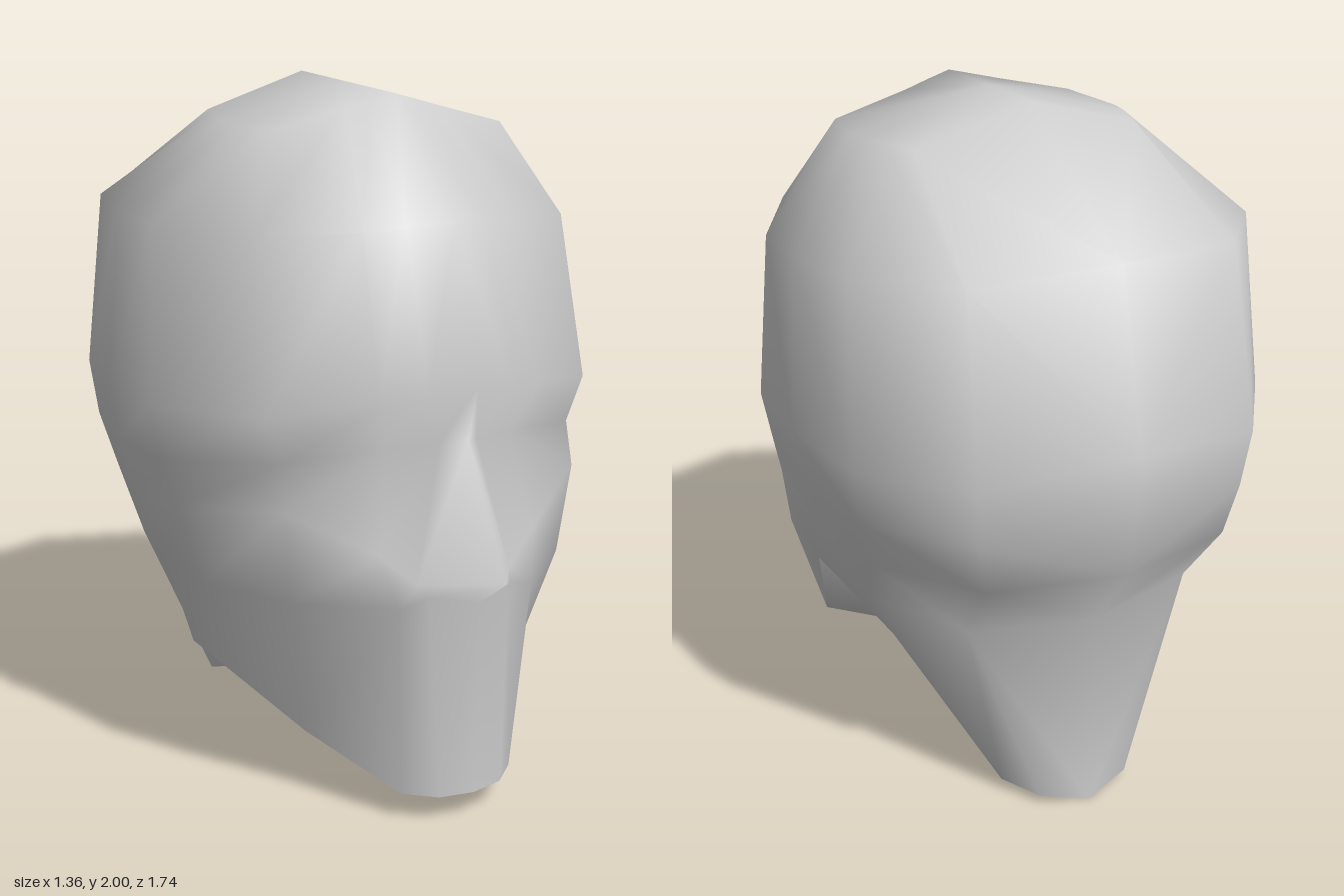
import * as THREE from 'three';
import { mergeVertices } from 'three/addons/utils/BufferGeometryUtils.js';

// Unit head outline, from front centre round the left side to back centre
const OUTLINE = [
  [0, 1], [0.2, 0.96], [0.37, 0.91], [0.76, 0.72], [1, 0.26],
  [1, -0.09], [0.92, -0.47], [0.6, -0.86], [0, -1],
];

// Half ring: front and back height and depth, half width, drop of the sides
function ring(yFront, zFront, yBack, zBack, width, drop, edits = {}) {
  return OUTLINE.map(([u, v], i) => edits[i] ?? [
    u * width,
    THREE.MathUtils.lerp(yBack, yFront, (v + 1) / 2) - drop * u,
    THREE.MathUtils.lerp(zBack, zFront, (v + 1) / 2),
  ]);
}

// Triangles between two half rings, upper one first
function strip(upper, lower) {
  const tris = [];
  for (let i = 0; i < upper.length - 1; i++) {
    tris.push([upper[i], lower[i], lower[i + 1]], [upper[i], lower[i + 1], upper[i + 1]]);
  }
  return tris;
}

const fan = (hub, rim) => rim.slice(1).map((p, i) => [hub, rim[i], p]);

// Mirror half the triangles across x = 0, weld them and smooth the normals
function mirrored(tris) {
  const flip = ([x, y, z]) => [-x, y, z];
  const all = tris.flatMap(([a, b, c]) => [a, b, c, flip(a), flip(c), flip(b)]);
  const geometry = new THREE.BufferGeometry();
  geometry.setAttribute('position', new THREE.Float32BufferAttribute(all.flat(), 3));
  const welded = mergeVertices(geometry, 1e-4);
  welded.computeVertexNormals();
  return welded;
}

export function createModel() {
  const group = new THREE.Group();
  group.name = 'head';
  // Double sided, as the neck is an open shell
  const grey = new THREE.MeshStandardMaterial({ color: 0xcccccc, side: THREE.DoubleSide });
  grey.name = 'light grey';
  const add = (name, tris) => {
    const mesh = new THREE.Mesh(mirrored(tris), grey);
    mesh.name = name;
    group.add(mesh);
  };

  // Skull and face from crown to mouth
  const rings = [
    ring(1.96, 0.3, 2.0, -0.24, 0.39, 0.1, {
      3: [0.37, 1.87, 0.26], 7: [0.33, 1.9, -0.2],
    }),
    ring(1.64, 0.59, 1.72, -0.74, 0.645, 0.05),
    ring(1.23, 0.72, 1.24, -0.87, 0.68, 0.1),
    // Eye sockets and nose bridge
    ring(1.07, 0.68, 1.06, -0.845, 0.655, 0.09, {
      1: [0.06, 1.06, 0.63], 2: [0.2, 1.05, 0.58], 3: [0.46, 1.03, 0.5],
    }),
    // Nose tip, nostrils and cheekbones
    ring(0.75, 0.75, 0.87, -0.82, 0.61, 0.02, {
      0: [0, 0.73, 0.87], 1: [0.15, 0.69, 0.67], 2: [0.25, 0.78, 0.64],
      3: [0.47, 0.9, 0.52], 4: [0.62, 0.85, 0.17],
    }),
    // Upper lip
    ring(0.64, 0.75, 0.63, -0.65, 0.58, 0, {
      1: [0.13, 0.66, 0.7], 3: [0.44, 0.64, 0.5],
    }),
  ];
  const apex = [0, 1.98, 0.03];
  const mouth = rings[5];
  const [, , , , cheek, ear, behindEar, napeSide, nape] = mouth;

  // Jaw line, inner edge of the jaw and open neck rim
  const jaw = [
    [0, 0.08, 0.74], [0.1, 0.08, 0.72], [0.18, 0.08, 0.65], [0.34, 0.2, 0.39], [0.535, 0.4, 0.07],
  ];
  const throat = [0, 0.12, 0.27];
  const jawInner = [0.28, 0.2, 0.14];
  const jawHollow = [0.4, 0.38, -0.02];
  const rim = [
    [0, 0.02, -0.34], [0.15, 0.06, -0.42], [0.215, 0.04, -0.5], [0.14, 0.03, -0.61], [0, 0, -0.65],
  ];

  const skin = fan(apex, rings[0]);
  for (let i = 0; i < rings.length - 1; i++) skin.push(...strip(rings[i], rings[i + 1]));
  skin.push(...strip(mouth.slice(0, 5), jaw), [cheek, jaw[4], ear]);
  // Neck, fanning out from its narrow rim
  skin.push(
    ...fan(rim[1], [behindEar, ear, jawHollow, jawInner, rim[0]]),
    [throat, jawInner, rim[0]],
    ...fan(rim[2], [napeSide, behindEar, rim[1]]),
    ...strip([napeSide, napeSide, nape], [rim[2], rim[3], rim[4]]),
  );
  add('faceSkullAndNeck', skin.map((t) => orient(t, throat, jawInner, rim[0])));

  // Underside of the jaw, kept apart for a crisp jaw line
  add('jawUnderside', [
    ...fan(throat, [jawInner, jaw[3], jaw[2], jaw[1], jaw[0]]),
    ...fan(jaw[3], [jawInner, jawHollow, jaw[4]]),
    [jaw[4], jawHollow, ear],
  ]);
  return group;
}

// Turn the throat triangle so that it faces down
function orient(tri, a, b, c) {
  return tri[0] === a && tri[1] === b && tri[2] === c ? [a, c, b] : tri;
}
